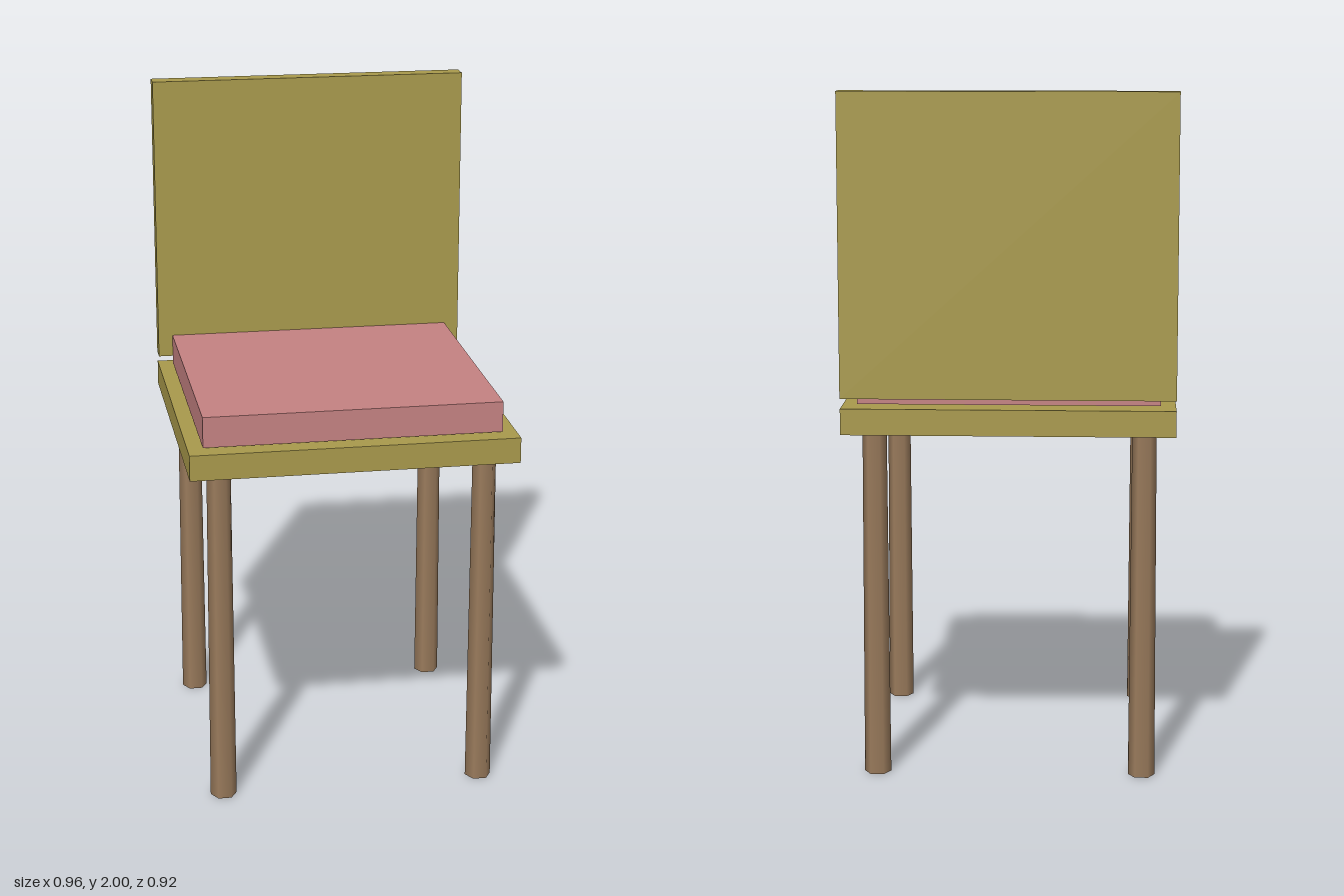
import * as THREE from 'three';

const material = (color) => new THREE.MeshStandardMaterial({ color });

// Box given by its lower and upper corners
function box(name, [x0, y0, z0], [x1, y1, z1], mat) {
  const mesh = new THREE.Mesh(new THREE.BoxGeometry(x1 - x0, y1 - y0, z1 - z0), mat);
  mesh.position.set((x0 + x1) / 2, (y0 + y1) / 2, (z0 + z1) / 2);
  mesh.name = name;
  return mesh;
}

export function createModel() {
  const chair = new THREE.Group();
  chair.name = 'chair';
  const board = material(0xa99a4c);
  const fabric = material(0xc58282);
  const wood = material(0x9a7b5c);

  // Seat board, cushion and upright backrest, with narrow gaps between them
  chair.add(
    box('seat', [-0.48, 1.024, -0.457], [0.48, 1.1, 0.462], board),
    box('cushion', [-0.436, 1.106, -0.406], [0.436, 1.197, 0.416], fabric),
    box('backrest', [-0.48, 1.13, -0.462], [0.48, 2, -0.406], board)
  );

  // Four six-sided legs, slightly slimmer at the top, corners pointing sideways
  const legHeight = 1.024;
  const legGeometry = new THREE.CylinderGeometry(0.035, 0.039, legHeight, 6);
  legGeometry.rotateY(Math.PI / 2);
  for (const [end, z] of [['front', 0.393], ['back', -0.386]]) {
    for (const [side, x] of [['Left', 0.388], ['Right', -0.39]]) {
      const leg = new THREE.Mesh(legGeometry, wood);
      leg.position.set(x, legHeight / 2, z);
      leg.name = `${end}${side}Leg`;
      chair.add(leg);
    }
  }
  return chair;
}
